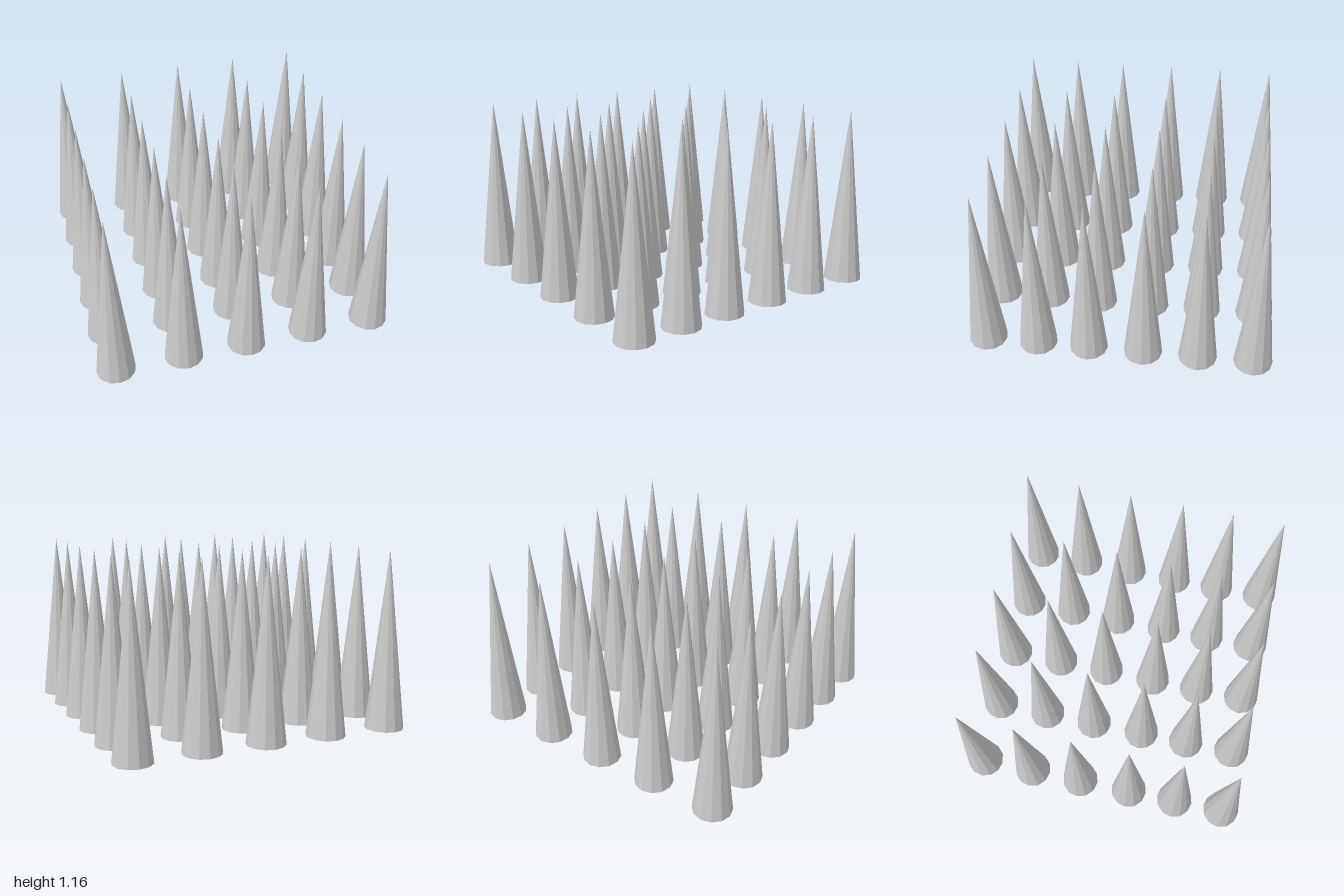
import * as THREE from 'three';

export function createModel() {
  const model = new THREE.Group();
  model.name = 'spikeField';

  const radius = 0.126, height = 1.165;
  const columns = [-0.862, -0.421, 0, 0.425, 0.857];
  const rows = [-0.874, -0.517, -0.161, 0.198, 0.535, 0.874];

  // One twelve-sided spike with a closed base, shared by the whole grid
  const spike = new THREE.ConeGeometry(radius, height, 12);
  spike.translate(0, height / 2, 0);
  const material = new THREE.MeshStandardMaterial({ color: 0xcccccc, flatShading: true });

  // Grid of spikes, row by row from back to front
  rows.forEach((z, r) => {
    const row = new THREE.Group();
    row.name = `spikeRow${r + 1}`;
    row.position.z = z;
    columns.forEach((x, c) => {
      const mesh = new THREE.Mesh(spike, material);
      mesh.name = `spike${c + 1}`;
      mesh.position.x = x;
      row.add(mesh);
    });
    model.add(row);
  });

  return model;
}
